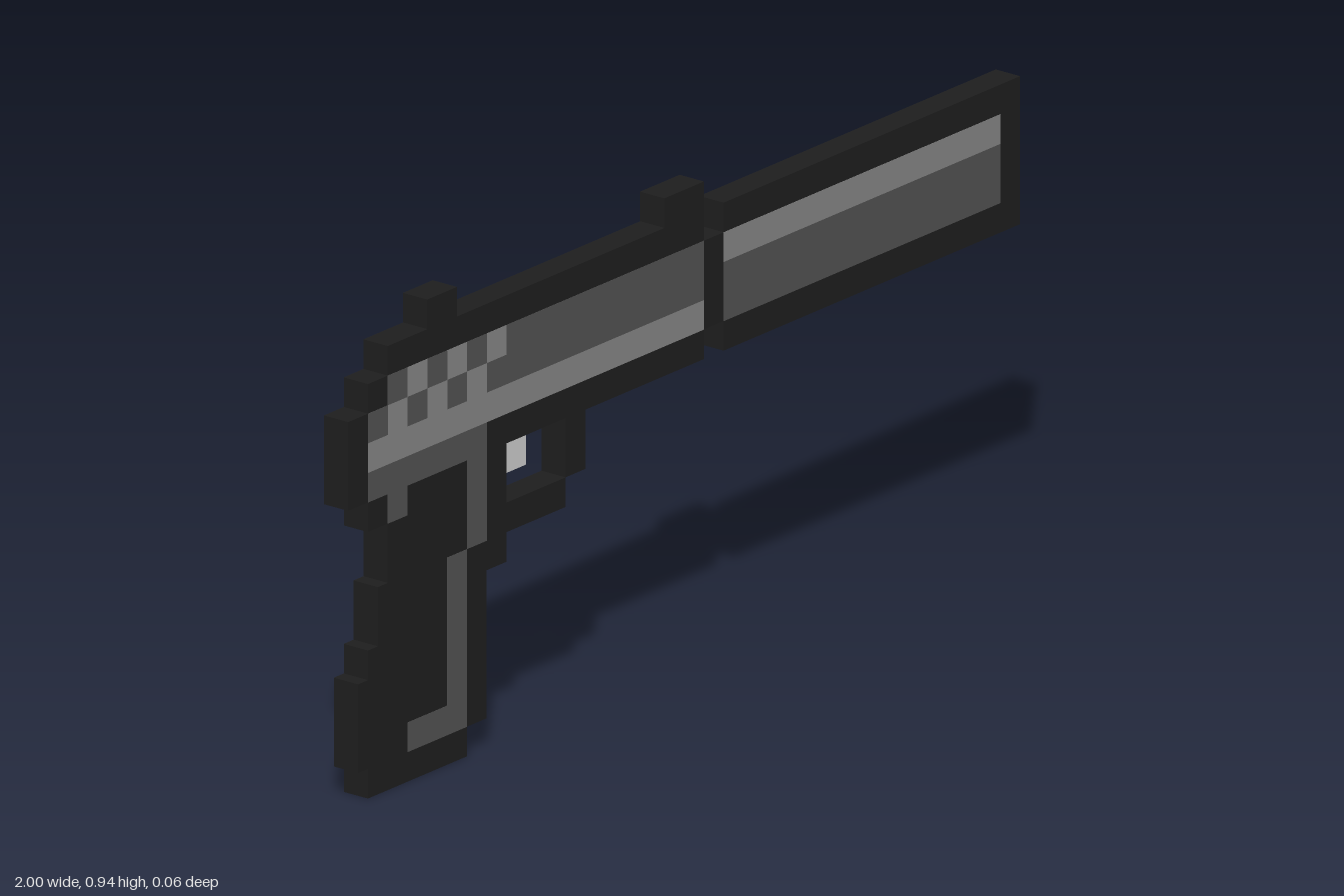
import * as THREE from 'three';

const U = 2 / 34;          // size of one grid cell
const DEPTH = 0.058;       // thickness of the flat body
const SKIN = 0.0006;       // how far the colour panels stand proud

const material = (color) => new THREE.MeshStandardMaterial({ color, flatShading: true });

export function createModel() {
  const group = new THREE.Group();
  const dark = material(0x1e1e1e);
  const mid = material(0x525252);
  const light = material(0x858585);
  const pale = material(0xdddddd);

  // Box covering grid cells x0..x1, y0..y1, between depths z0 and z1
  function block(name, mat, x0, y0, x1, y1, z0 = -DEPTH / 2, z1 = DEPTH / 2) {
    const geo = new THREE.BoxGeometry((x1 - x0) * U, (y1 - y0) * U, z1 - z0);
    const mesh = new THREE.Mesh(geo, mat);
    mesh.name = name;
    mesh.position.set(((x0 + x1) / 2) * U - 1, ((y0 + y1) / 2) * U, (z0 + z1) / 2);
    group.add(mesh);
  }

  // Colour panel showing on both faces; the back may have its own colour
  function panel(name, front, x0, y0, x1, y1, back = front) {
    const z = DEPTH / 2 + SKIN;
    block(name + 'Front', front, x0, y0, x1, y1, z - 0.004, z);
    block(name + 'Back', back, x0, y0, x1, y1, -z, -z + 0.004);
  }

  // Frame and grip: one stepped outline, counter-clockwise
  const outline = [
    [1, 0], [6, 0], [6, 1], [7, 1], [7, 6], [8, 6], [8, 10], [18, 10], [18, 15],
    [2, 15], [2, 14], [1, 14], [1, 13], [0, 13], [0, 10], [1, 10], [1, 9], [2, 9],
    [2, 7], [1.5, 7], [1.5, 5], [1, 5], [1, 4], [0.5, 4], [0.5, 1], [1, 1],
  ].map(([x, y]) => new THREE.Vector2(x * U - 1, y * U));
  const frameGeo = new THREE.ExtrudeGeometry(new THREE.Shape(outline), { depth: DEPTH, bevelEnabled: false });
  frameGeo.translate(0, 0, -DEPTH / 2);
  const frame = new THREE.Mesh(frameGeo, dark);
  frame.name = 'frameAndGrip';
  group.add(frame);

  // Sights
  block('rearSight', dark, 4, 15, 5.5, 16);
  block('frontSight', dark, 16, 15, 18, 16);

  // Trigger and its guard
  block('triggerGuardBar', dark, 8, 7, 11, 8);
  block('triggerGuardPost', dark, 11, 8, 12, 10);
  block('trigger', pale, 8, 9, 9, 10);

  // Barrel neck and long muzzle tube
  block('barrelNeck', dark, 18, 11, 19, 14);
  block('muzzleTube', dark, 19, 10, 34, 15);
  panel('muzzleStripe', light, 19, 13, 33, 14);
  panel('muzzleSide', mid, 19, 11, 33, 13);

  // Slide side, with a chequered gripping area at the rear
  panel('slideStripe', light, 1, 11, 18, 12);
  panel('slideUpper', mid, 8, 12, 18, 14);
  for (let x = 1; x < 8; x++) {
    for (let y = 12; y < 14; y++) {
      if (x === 1 && y === 13) continue;
      panel('slideChequer', (x + y) % 2 === 0 ? light : mid, x, y, x + 1, y + 1);
    }
  }

  // Receiver strip and the pin below it
  panel('receiverStrip', mid, 1, 10, 7, 11, light);
  panel('receiverPin', mid, 2, 9, 3, 10, light);

  // Grip trim
  panel('gripTrimUpper', mid, 6, 7, 7, 10);
  panel('gripTrimLower', mid, 5, 1, 6, 7);
  panel('gripTrimFoot', mid, 3, 1, 5, 2);

  return group;
}
